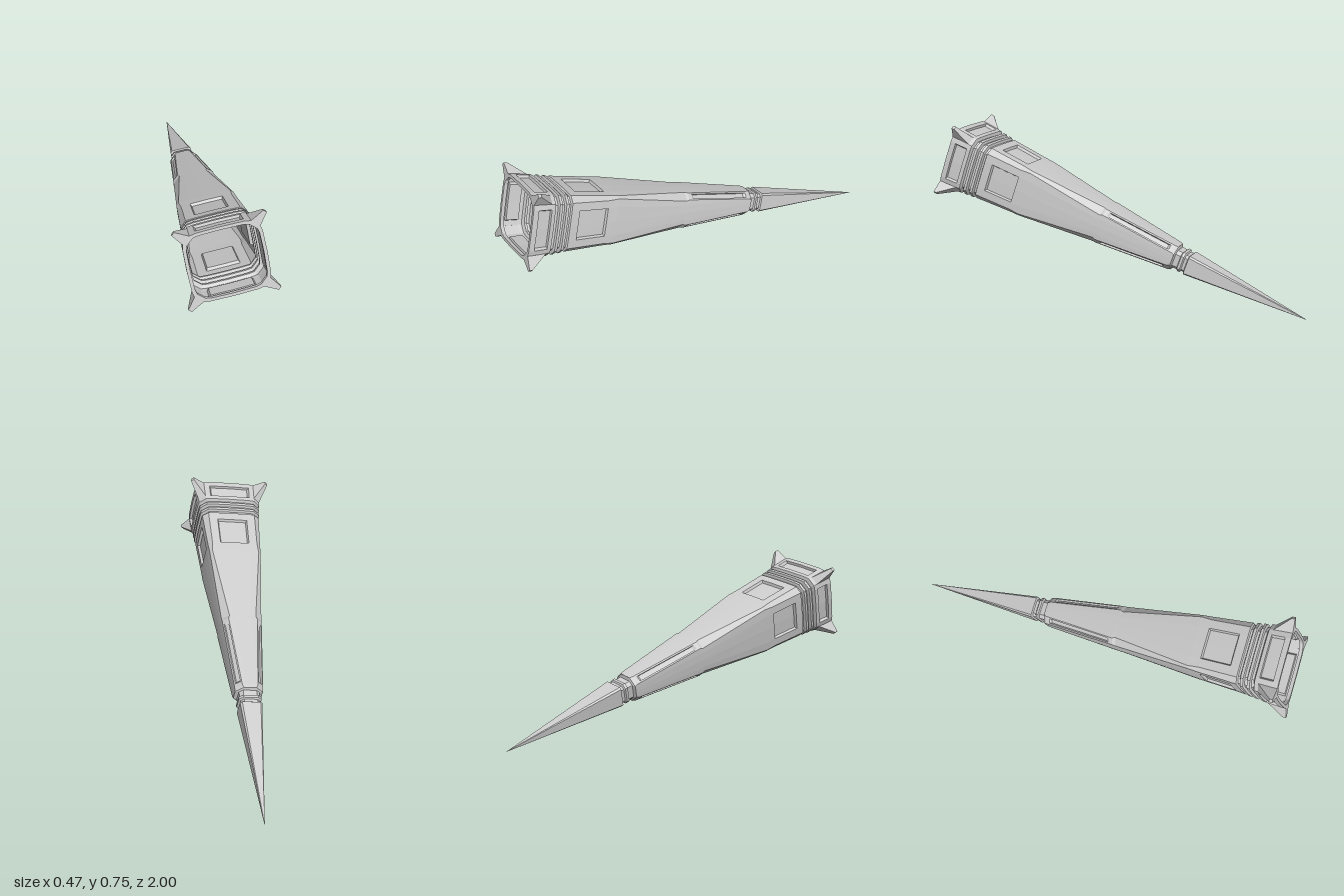
import * as THREE from 'three';

const V = (x, y, z) => new THREE.Vector3(x, y, z);
const SU = 1.04, SV = 0.97; // section is a little wider than tall

// Chamfered square section at distance t from the mouth: 5 points per side, 20 in all.
// w half width, c chamfer, p panel column as a share of the flat, bow of the side
function ring([t, w, c, p = 0.64, bow = 0.003]) {
  const f = w - c, pts = [];
  const cols = [[-f, 0], [-p * f, bow * 0.7], [0, bow], [p * f, bow * 0.7], [f, 0]];
  for (let i = 0; i < 4; i++) {
    const C = Math.round(Math.cos(i * Math.PI / 2)), S = Math.round(Math.sin(i * Math.PI / 2));
    for (const [s, b] of cols) {
      const d = w + b;
      pts.push(V((C * d - S * s) * SU, (S * d + C * s) * SV, -t));
    }
  }
  return pts;
}

// Collects flat quads
class Skin {
  constructor() { this.v = []; }
  quad(a, b, c, d) { for (const q of [a, b, c, a, c, d]) this.v.push(q.x, q.y, q.z); }
  walls(o, i) {
    o.forEach((a, k) => {
      const n = (k + 1) % o.length;
      this.quad(a, o[n], i[n], i[k]);
    });
  }
  // Sunken panel between two rows of points, with an optional flat frame
  recess(P, Q, across, along, depth) {
    const n = P.length - 1;
    const mid = r => r[0].clone().lerp(r[n], 0.5);
    const shrink = (A, B, fx, fz) => {
      const sx = r => { const m = mid(r); return r.map(q => m.clone().lerp(q, fx)); };
      const a = sx(A), b = sx(B), g = (1 - fz) / 2;
      return [a.map((q, k) => q.clone().lerp(b[k], g)), b.map((q, k) => q.clone().lerp(a[k], g))];
    };
    const loop = (A, B) => [A[0], ...B, ...A.slice(1).reverse()];
    const [A, B] = shrink(P, Q, across, along);
    const [C, D] = shrink(A, B, 0.92, 0.93);
    const inward = mid(A).add(mid(B)).setZ(0).normalize().multiplyScalar(-depth);
    [...C, ...D].forEach(q => q.add(inward));
    this.walls(loop(P, Q), loop(A, B));
    this.walls(loop(A, B), loop(C, D));
    for (let k = 0; k < n; k++) this.quad(C[k], D[k], D[k + 1], C[k + 1]);
  }
  // Skin over a run of sections; a row's sixth entry marks panels up to the next row
  loft(rows) {
    const R = rows.map(ring);
    for (let k = 0; k < R.length - 1; k++) {
      const a = R[k], b = R[k + 1], kind = rows[k][5];
      for (let j = 0; j < 20; j++) {
        const n = (j + 1) % 20, col = j % 5;
        if (kind === 'side' && (col === 1 || col === 2)) {
          if (col === 1) this.recess(a.slice(j, j + 3), b.slice(j, j + 3), 1, 1, 0.013);
        } else if (kind === 'corner' && col === 4) {
          this.recess([a[j], a[n]], [b[j], b[n]], 0.62, 0.9, 0.009);
        } else this.quad(a[j], b[j], b[n], a[n]);
      }
    }
    return this;
  }
  mesh(name) {
    const g = new THREE.BufferGeometry();
    g.setAttribute('position', new THREE.Float32BufferAttribute(this.v, 3));
    g.computeVertexNormals();
    const m = new THREE.Mesh(g, new THREE.MeshStandardMaterial({
      color: 0xcccccc, flatShading: true, side: THREE.DoubleSide }));
    m.name = name;
    return m;
  }
}

export function createModel() {
  const group = new THREE.Group();
  group.name = 'hollowSpike';
  const spike = new THREE.Group();
  spike.name = 'tiltedSpike';

  // Mouth collar with inner lip and a sunken panel on each side
  const rim = [0, 0.165, 0.034, 0.8, 0.008];
  const shoulder = [0.095, 0.16, 0.032, 0.8, 0.007];
  spike.add(new Skin().loft([
    [0.02, 0.16, 0.034, 0.8, 0.008],
    [0.018, 0.15, 0.03, 0.8, 0.008],
    [0, 0.15, 0.03, 0.8, 0.008],
    rim,
    [0.028, 0.164, 0.034, 0.8, 0.008, 'side'],
    shoulder,
    [0.115, 0.158, 0.032, 0.8, 0.006],
  ]).mesh('mouthCollar'));

  // Stepped rings behind the collar
  const rings = [[0.115, 0.158, 0.032, 0.8, 0.006]];
  [[0.122, 0.156], [0.157, 0.153]].forEach(([t, w]) => rings.push(
    [t, w - 0.012, 0.03, 0.75, 0.005], [t + 0.012, w - 0.012, 0.03, 0.75, 0.005],
    [t + 0.016, w, 0.032, 0.75, 0.005], [t + 0.03, w - 0.001, 0.032, 0.75, 0.005]));
  rings.push([0.192, 0.14, 0.028], [0.202, 0.14, 0.028], [0.207, 0.148, 0.028]);
  spike.add(new Skin().loft(rings).mesh('collarRings'));

  // Tapered body: side panels near the mouth, slotted corner pads near the neck
  spike.add(new Skin().loft([
    [0.207, 0.148, 0.028],
    [0.25, 0.145, 0.026, 0.64, 0.003, 'side'],
    [0.405, 0.135, 0.02],
    [0.46, 0.131, 0.012, 0.64, 0.004],
    [0.87, 0.099, 0.034, 0.6, 0.003],
    [0.885, 0.098, 0.027, 0.6, 0.003, 'corner'],
    [1.275, 0.068, 0.031, 0.6, 0.001],
    [1.29, 0.066, 0.036, 0.6, 0.001],
  ]).mesh('taperedBody'));

  // Narrow neck with a raised band
  spike.add(new Skin().loft([
    [1.29, 0.066, 0.036, 0.6, 0], [1.295, 0.05, 0.018, 0.6, 0], [1.322, 0.048, 0.016, 0.6, 0],
    [1.327, 0.055, 0.018, 0.6, 0], [1.34, 0.054, 0.018, 0.6, 0], [1.345, 0.046, 0.014, 0.6, 0],
    [1.36, 0.046, 0.014, 0.6, 0], [1.365, 0.053, 0.009, 0.6, 0],
  ]).mesh('neck'));

  // Pointed tip
  spike.add(new Skin().loft([
    [1.365, 0.053, 0.009, 0.6, 0], [2.004, 0.0006, 0.0001, 0.6, 0],
  ]).mesh('pointedTip'));

  // Horns on the four corners of the mouth
  const front = ring(rim), back = ring(shoulder);
  for (let i = 0; i < 4; i++) {
    const j = 5 * i + 4, n = (j + 1) % 20;
    const base = [front[j], back[j], back[n], front[n]];
    const dir = front[j].clone().add(front[n]);
    const tip = V(Math.sign(dir.x) * 0.203, Math.sign(dir.y) * 0.187, 0);
    const half = front[n].clone().sub(front[j]).normalize().multiplyScalar(0.009);
    const p = tip.clone().sub(half), q = tip.clone().add(half);
    const end = [p, p.clone().setZ(-0.016), q.clone().setZ(-0.016), q];
    const s = new Skin();
    s.walls(base, end);
    s.quad(...end);
    spike.add(s.mesh('cornerHorn'));
  }

  // Lean the whole spike: mouth up and forward, tip resting on the ground
  const Z = V(0.0758, 0.2694, 0.96).normalize();
  const Y = Z.clone().cross(V(0.982, 0.145, -0.12)).normalize();
  const X = Y.clone().cross(Z);
  spike.applyMatrix4(new THREE.Matrix4().makeBasis(X, Y, Z).setPosition(0, 0.541, 0.924));
  group.add(spike);
  return group;
}
